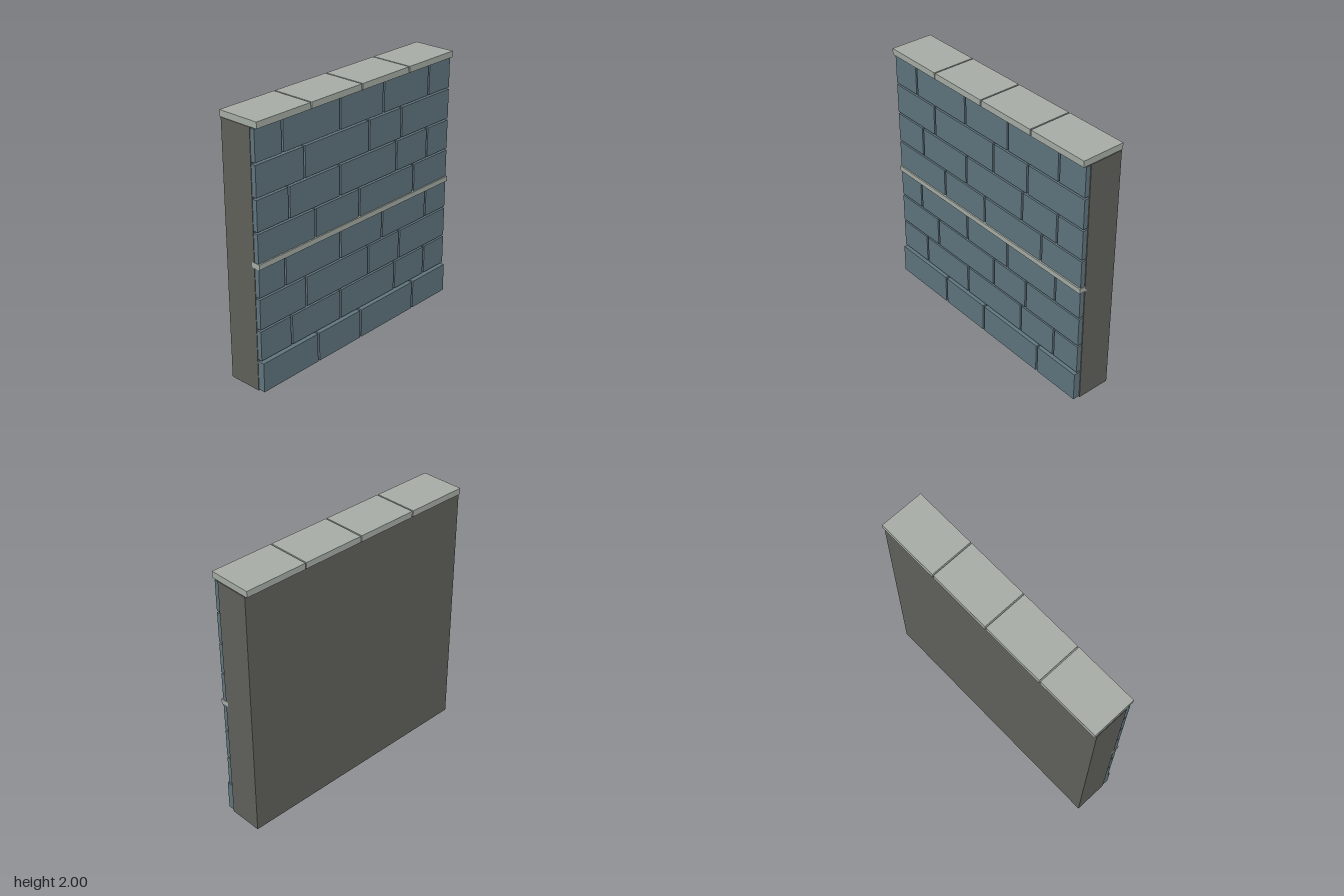
import * as THREE from 'three';

const slate = new THREE.MeshStandardMaterial({ color: 0x60757e });
slate.name = 'slateBlue';
const mortar = new THREE.MeshStandardMaterial({ color: 0x60615b });
mortar.name = 'darkMortar';
const stone = new THREE.MeshStandardMaterial({ color: 0xa6ada5 });
stone.name = 'paleStone';

// Box given by its lower and upper limits on each axis
function block(name, material, [x0, x1], [y0, y1], [z0, z1]) {
  const mesh = new THREE.Mesh(new THREE.BoxGeometry(x1 - x0, y1 - y0, z1 - z0), material);
  mesh.position.set((x0 + x1) / 2, (y0 + y1) / 2, (z0 + z1) / 2);
  mesh.name = name;
  return mesh;
}

// Row of blocks separated by joints at the given x positions
function course(name, material, joints, gap, yRange, zRange) {
  const row = new THREE.Group();
  row.name = name;
  const edges = [-1, ...joints, 1];
  for (let i = 0; i < edges.length - 1; i++) {
    const left = edges[i] + (i === 0 ? 0.004 : gap / 2);
    const right = edges[i + 1] - (i === edges.length - 2 ? 0.006 : gap / 2);
    row.add(block(name + 'Block', material, [left, right], yRange, zRange));
  }
  return row;
}

export function createModel() {
  const wall = new THREE.Group();
  wall.name = 'wall';

  // Solid core behind the facing
  wall.add(block('wallCore', mortar, [-1, 1], [0, 1.953], [-0.155, 0.11]));

  // Eight facing courses, four joint patterns repeated; the plinth stands proud
  const patterns = [
    [-0.45, 0, 0.6],
    [-0.7, -0.2, 0.4, 0.75],
    [-0.55, 0.1, 0.45],
    [-0.75, -0.2, 0.25, 0.75],
  ];
  const pitch = 0.244;
  for (let i = 0; i < 8; i++) {
    const y = [i * pitch + 0.008, (i + 1) * pitch - 0.007];
    wall.add(course(i === 0 ? 'plinth' : 'facingCourse', slate, patterns[i % 4], 0.016,
      y, [0.105, i === 0 ? 0.165 : 0.147]));
  }

  // Thin string course at mid height
  wall.add(block('stringCourse', stone, [-1, 1], [0.957, 0.997], [0.09, 0.158]));

  // Coping slabs
  wall.add(course('coping', stone, [-0.503, -0.003, 0.497], 0.01, [1.953, 2], [-0.17, 0.17]));

  return wall;
}
